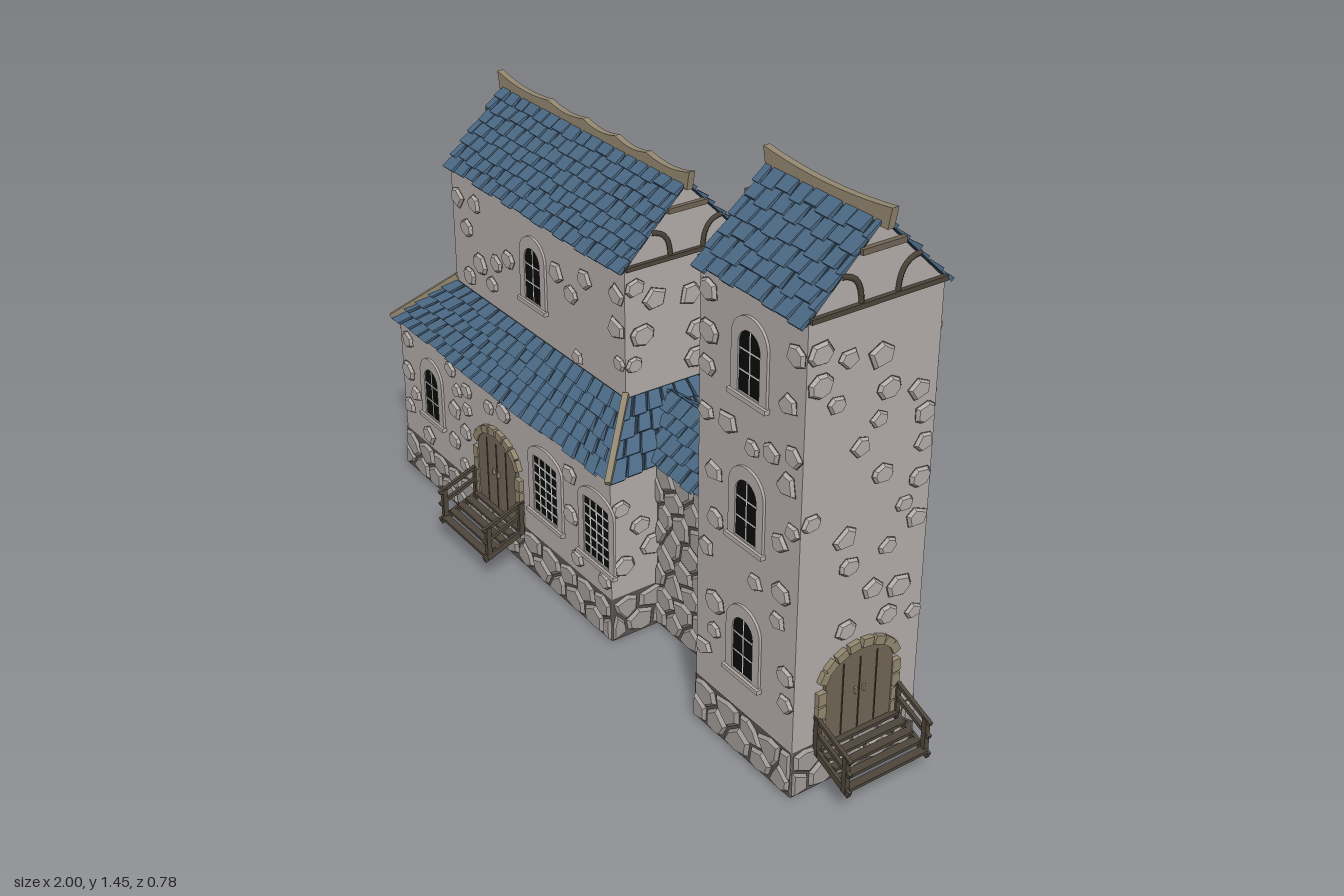
import * as THREE from 'three';
import { mergeGeometries } from 'three/addons/utils/BufferGeometryUtils.js';

const paint = (name, color, side = THREE.FrontSide) => {
  const m = new THREE.MeshStandardMaterial({ color, side });
  m.name = name;
  return m;
};
const M = {
  plaster: paint('plaster', 0xb0aaa7, THREE.DoubleSide),
  stone: paint('stone', 0x9f9a96),
  mortar: paint('mortar', 0x57524e, THREE.DoubleSide),
  slate: paint('slate', 0x4a6782),
  slateShadow: paint('slateShadow', 0x24323f, THREE.DoubleSide),
  ridgeWood: paint('ridgeWood', 0x91866e),
  darkWood: paint('darkWood', 0x4d443a),
  doorWood: paint('doorWood', 0x6f6454),
  glass: paint('glass', 0x0b0b0c),
  white: paint('white', 0xe8e8e6),
};
let seed = 11;
const rnd = () => (seed = (seed * 16807) % 2147483647) / 2147483647;
const V = (x, y, z) => new THREE.Vector3(x, y, z);

function add(parent, name, geo, mat) {
  const m = new THREE.Mesh(geo, mat);
  m.name = name;
  parent.add(m);
  return m;
}
function box(w, h, d, x, y, z, tilt = 0) {
  return new THREE.BoxGeometry(w, h, d).rotateX(tilt).translate(x, y, z);
}
// flat-shaded surface from a list of quads
function facets(quads) {
  const p = [];
  for (const [a, b, c, d] of quads) for (const v of [a, b, c, a, c, d]) p.push(v.x, v.y, v.z);
  const g = new THREE.BufferGeometry();
  g.setAttribute('position', new THREE.Float32BufferAttribute(p, 3));
  g.computeVertexNormals();
  return g;
}
// bevelled stones from outlines lying on a wall
function stones(polys, h, grow = 1, cap = 0.8) {
  const quads = [];
  for (const poly of polys) {
    const c = poly.reduce((s, p) => s.add(p), V(0, 0, 0)).divideScalar(poly.length);
    const ring = (k, z) => poly.map(p => V(c.x + (p.x - c.x) * k, c.y + (p.y - c.y) * k, z));
    const lo = ring(grow, 0.0005), hi = ring(grow * cap, h), mid = V(c.x, c.y, h);
    poly.forEach((_, i) => {
      const j = (i + 1) % poly.length;
      quads.push([lo[i], lo[j], hi[j], hi[i]], [hi[i], hi[j], mid, mid]);
    });
  }
  return facets(quads);
}
// interlocking cobbles over a band of wall
function cobbles(face, w, H, cw, rows) {
  const ch = H / rows, n = Math.ceil(w / cw) * 2 + 2, polys = [];
  const hash = (i, r) => { const s = Math.sin(i * 12.99 + r * 78.23 + w * 37) * 43758.5; return s - Math.floor(s) - 0.5; };
  const pt = (i, r) => V(
    THREE.MathUtils.clamp(-w / 2 + (i - 1) * cw / 2 + hash(i, r) * cw * 0.35, -w / 2, w / 2),
    THREE.MathUtils.clamp((r + ((i + r) % 2 ? -0.2 : 0.2) + hash(r, i) * 0.3) * ch, 0, H), 0);
  for (let r = 0; r < rows; r++) for (let i = r % 2; i < n; i += 2) {
    const poly = [pt(i, r), pt(i + 1, r), pt(i + 2, r), pt(i + 2, r + 1), pt(i + 1, r + 1), pt(i, r + 1)];
    if (poly[2].x - poly[0].x > cw * 0.2) polys.push(poly);
  }
  add(face, 'cobbleMortar', new THREE.PlaneGeometry(w, H).translate(0, H / 2, 0.002), M.mortar);
  add(face, 'cobbles', stones(polys, 0.009, 0.9).translate(0, 0, 0.002), M.stone);
}
// loose stones showing through the plaster, kept clear of openings
function scatter(face, w, y0, y1, n, avoid = []) {
  const polys = [], used = [];
  for (let t = 0; t < 600 && polys.length < n; t++) {
    const r = 0.024 + rnd() * 0.014, edge = rnd() < 0.25 ? Math.sign(rnd() - 0.5) : 0;
    const x = edge ? edge * (w / 2 - r) : (rnd() - 0.5) * (w - 2 * r), y = y0 + r + rnd() * (y1 - y0 - 2 * r);
    if (avoid.some(([ax, ay, aw, ah]) => Math.abs(x - ax) < aw / 2 + r && Math.abs(y - ay) < ah / 2 + r)) continue;
    if (used.some(u => Math.hypot(u[0] - x, u[1] - y) < u[2] + r + 0.004)) continue;
    used.push([x, y, r]);
    const k = 5 + Math.floor(rnd() * 3), a0 = rnd() * 6;
    polys.push(Array.from({ length: k }, (_, i) => {
      const a = a0 + (i + rnd() * 0.4) / k * Math.PI * 2;
      return V(x + Math.cos(a) * r, y + Math.sin(a) * r * 0.85, 0);
    }));
  }
  add(face, 'stoneRims', stones(polys, 0.001, 1.06, 0.98), M.mortar);
  add(face, 'wallStones', stones(polys, 0.009), M.plaster);
}
// four wall faces, each a group with x along the wall and z pointing out
function block(parent, name, x0, x1, z0, z1, yb, yt, ridge = yt, mat = M.plaster) {
  const g = new THREE.Group(), cx = (x0 + x1) / 2, cz = (z0 + z1) / 2, out = {};
  g.name = name;
  parent.add(g);
  [['front', cx, z1, x1 - x0], ['right', x1, cz, z1 - z0], ['back', cx, z0, x1 - x0], ['left', x0, cz, z1 - z0]].forEach(([n, x, z, w], i) => {
    const f = new THREE.Group(), top = i % 2 ? ridge : yt;
    f.name = n + 'Face';
    f.position.set(x, 0, z);
    f.rotation.y = i * Math.PI / 2;
    g.add(f);
    const pts = [[-w / 2, yb], [w / 2, yb], [w / 2, yt], [0, top], [-w / 2, yt]].map(p => new THREE.Vector2(...p));
    add(f, 'wall', new THREE.ShapeGeometry(new THREE.Shape(pts)), mat);
    f.userData.w = w;
    out[n] = f;
  });
  return out;
}
function arch(w, h, rise, Type = THREE.Shape) {
  const s = new Type();
  s.moveTo(-w / 2, 0).lineTo(w / 2, 0).lineTo(w / 2, h - rise);
  s.absellipse(0, h - rise, w / 2, rise, 0, Math.PI, false);
  s.closePath();
  return s;
}
const slab = (shape, depth) => new THREE.ExtrudeGeometry(shape, { depth, bevelEnabled: false, curveSegments: 10 });

function windowAt(face, x, y, wide = false) {
  const g = new THREE.Group(), w = wide ? 0.115 : 0.076, h = wide ? 0.175 : 0.155, rise = wide ? 0.006 : 0.038;
  g.name = 'window';
  g.position.set(x, y, 0);
  face.add(g);
  const frame = arch(w + 0.05, h + 0.038, wide ? 0.045 : 0.06);
  frame.holes.push(new THREE.Path(arch(w, h, rise).getPoints(10).map(p => p.setY(p.y + 0.004))));
  add(g, 'surround', slab(frame, 0.007), M.plaster);
  add(g, 'glass', slab(arch(w, h, rise), 0.006).translate(0, 0.004, -0.003), M.glass);
  const bars = [], nx = wide ? 4 : 2, ny = wide ? 6 : 3, t = wide ? 0.005 : 0.0035;
  for (let i = wide ? 0 : 1; i <= (wide ? nx : nx - 1); i++) bars.push(box(t, h - 0.004, 0.008, (i / nx - 0.5) * w, h / 2 + 0.003, 0));
  for (let j = wide ? 0 : 1; j < ny; j++) bars.push(box(w * 0.97, t, 0.008, 0, 0.004 + j * h / ny, 0));
  add(g, 'glazingBars', mergeGeometries(bars), M.white);
  add(g, 'sill', box(w + 0.06, 0.012, 0.016, 0, -0.006, 0.006), M.plaster);
}
function entrance(face, x) {
  const g = new THREE.Group();
  g.name = 'entrance';
  g.position.x = x;
  face.add(g);
  add(g, 'door', slab(arch(0.2, 0.235, 0.07), 0.014).translate(0, 0.12, -0.004), M.doorWood);
  const seams = [-0.05, 0, 0.05].map(s => box(0.003, 0.2, 0.004, s, 0.23, 0.01));
  add(g, 'doorSeams', mergeGeometries(seams), M.darkWood);
  add(g, 'doorHandles', mergeGeometries([-0.012, 0.012].map(s => box(0.006, 0.016, 0.01, s, 0.24, 0.013))), M.ridgeWood);
  // stone blocks round the opening
  const blocks = [];
  for (const s of [-1, 1]) for (let i = 0; i < 4; i++) blocks.push(box(0.024, 0.034, 0.016, s * 0.111, 0.14 + i * 0.039, 0.006));
  for (let i = 1; i < 9; i++) {
    const a = i / 9 * Math.PI;
    blocks.push(new THREE.BoxGeometry(0.022, 0.031, 0.016).rotateZ(Math.atan2(Math.sin(a) * 0.11, Math.cos(a) * 0.08)).translate(Math.cos(a) * 0.111, 0.285 + Math.sin(a) * 0.079, 0.006));
  }
  add(g, 'doorArch', mergeGeometries(blocks), M.ridgeWood);
  // wooden steps with sloping handrails
  const parts = [], tilt = 0.37;
  for (let i = 0; i < 5; i++) parts.push(box(0.235, 0.008, 0.022, 0, 0.122 - i * 0.0115, 0.014 + i * 0.026));
  for (const s of [-0.12, 0.12]) {
    parts.push(box(0.01, 0.018, 0.135, s, 0.09, 0.068, tilt));
    for (const [z, y] of [[0.012, 0.155], [0.115, 0.115]]) parts.push(box(0.014, 0.1, 0.014, s, y, z));
    for (const y of [0.182, 0.145]) parts.push(box(0.01, 0.01, 0.14, s, y, 0.066, tilt));
  }
  add(g, 'steps', mergeGeometries(parts), M.darkWood);
}
// beams in a gable end
function gableTimber(face, y, rise) {
  const w = face.userData.w, parts = [box(w, 0.012, 0.014, 0, y, 0.004)];
  for (const s of [-1, 1]) {
    const c = new THREE.QuadraticBezierCurve3(V(s * 0.05, y, 0.003), V(s * 0.05, y + 0.075, 0.003), V(s * 0.108, y + 0.078, 0.003));
    parts.push(new THREE.TubeGeometry(c, 8, 0.007, 5));
  }
  add(face, 'gableBeams', mergeGeometries(parts), M.darkWood);
  add(face, 'collarBeam', box(w * 0.32, 0.014, 0.016, 0, y + rise * 0.68, 0.004), M.doorWood);
}
// tiled slope; corners run eave left, eave right, top right, top left
function slope(parent, name, eL, eR, tR, tL) {
  const n = V(0, 0, 0).crossVectors(eR.clone().sub(eL), tL.clone().sub(eL)).normalize();
  const at = (u, v, lift) => eL.clone().lerp(eR, u).lerp(tL.clone().lerp(tR, u), v).addScaledVector(n, lift);
  const rows = Math.round(eL.clone().lerp(eR, 0.5).distanceTo(tL.clone().lerp(tR, 0.5)) / 0.042), quads = [];
  for (let r = 0; r < rows; r++) {
    const len = at(0, r / rows, 0).distanceTo(at(1, r / rows, 0)), k = Math.round(len / 0.05);
    for (let i = 0; i <= k; i++) {
      const u0 = Math.max(0, (i - (r % 2 ? 0.5 : 0) + rnd() * 0.2) / k) , u1 = Math.min(1, (i + 0.94 - (r % 2 ? 0.5 : 0)) / k);
      if (u1 - u0 < 0.15 / k) continue;
      const v0 = (r - rnd() * 0.25) / rows, v1 = (r + 0.97) / rows, h = 0.009 + rnd() * 0.006;
      const a = at(u0, v0, h), b = at(u1, v0, h), c = at(u1, v1, 0.004), d = at(u0, v1, 0.004);
      const a0 = at(u0, v0, 0), b0 = at(u1, v0, 0), c0 = at(u1, v1, 0), d0 = at(u0, v1, 0);
      quads.push([a, b, c, d], [a0, b0, b, a], [b0, c0, c, b], [d0, a0, a, d]);
    }
  }
  add(parent, name + 'Underlay', facets([[eL, eR, tR, tL]]), M.slateShadow);
  add(parent, name + 'Tiles', facets(quads), M.slate);
}
function gableRoof(parent, name, x0, x1, z0, z1, y, top) {
  const m = (z0 + z1) / 2;
  slope(parent, name + 'Front', V(x0, y, z1), V(x1, y, z1), V(x1, top, m), V(x0, top, m));
  slope(parent, name + 'Back', V(x1, y, z0), V(x0, y, z0), V(x0, top, m), V(x1, top, m));
}
// sagging ridge timber, each span lifted at its ends
function ridgeBeam(parent, xs, y, z) {
  const s = new THREE.Shape();
  s.moveTo(xs[0] + 0.01, y - 0.015).lineTo(xs[xs.length - 1] - 0.01, y - 0.015);
  s.lineTo(xs[xs.length - 1], y + 0.036);
  for (let i = xs.length - 2; i >= 0; i--) s.quadraticCurveTo((xs[i] + xs[i + 1]) / 2, y + 0.006, xs[i], y + (i ? 0.028 : 0.036));
  s.closePath();
  add(parent, 'ridgeBeam', slab(s, 0.018).translate(0, 0, z - 0.009), M.ridgeWood);
}

export function createModel() {
  const root = new THREE.Group();
  root.name = 'stoneHouse';

  // ground floor
  const low = block(root, 'groundFloor', -0.98, 0.12, -0.37, 0.25, 0, 0.5);
  const lowHoles = { front: [[-0.37, 0.32, 0.15, 0.24], [0, 0.25, 0.27, 0.27], [0.245, 0.32, 0.17, 0.24], [0.49, 0.32, 0.17, 0.24]], back: [[-0.37, 0.32, 0.15, 0.24], [0.37, 0.32, 0.15, 0.24]] };
  for (const [n, f] of Object.entries(low)) {
    cobbles(f, f.userData.w, 0.13, 0.085, 2);
    scatter(f, f.userData.w, 0.13, 0.49, Math.round(f.userData.w * 21), lowHoles[n]);
  }
  windowAt(low.front, -0.37, 0.237);
  windowAt(low.front, 0.245, 0.215, true);
  windowAt(low.front, 0.49, 0.215, true);
  entrance(low.front, 0);
  for (const x of [-0.37, 0.37]) windowAt(low.back, x, 0.237);

  // upper floor
  const up = block(root, 'upperFloor', -0.86, 0, -0.25, 0.12, 0.55, 0.98, 1.165);
  for (const [n, f] of Object.entries(up)) {
    const open = n === 'front' || n === 'back';
    scatter(f, f.userData.w, 0.62, 0.97, open ? 15 : 9, open ? [[0, 0.8, 0.15, 0.24]] : []);
    if (open) windowAt(f, 0, 0.722);
    else gableTimber(f, 0.985, 0.185);
  }

  // tower
  const tower = block(root, 'tower', 0.49, 0.86, -0.12, 0.25, 0, 1.23, 1.41);
  const levels = [0.237, 0.607, 0.977];
  for (const [n, f] of Object.entries(tower)) {
    const open = n === 'front' || n === 'back';
    cobbles(f, 0.37, 0.13, 0.085, 2);
    const holes = open ? levels.map(y => [0, y + 0.08, 0.15, 0.24]) : n === 'right' ? [[0, 0.24, 0.27, 0.27]] : [];
    scatter(f, 0.37, 0.13, 1.21, 24, holes);
    if (open) levels.forEach(y => windowAt(f, 0, y));
    else gableTimber(f, 1.235, 0.18);
  }
  entrance(tower.right, 0);

  // cobbled link between house and tower
  const link = block(root, 'link', 0.12, 0.49, -0.115, 0.105, 0, 0.5, 0.62, M.mortar);
  for (const f of [link.front, link.back]) cobbles(f, 0.37, 0.5, 0.075, 8);

  // roofs
  gableRoof(root, 'upperRoof', -0.865, 0.005, -0.26, 0.13, 0.975, 1.17);
  gableRoof(root, 'towerRoof', 0.485, 0.865, -0.13, 0.26, 1.225, 1.415);
  gableRoof(root, 'linkRoof', 0, 0.49, -0.13, 0.12, 0.495, 0.62);
  ridgeBeam(root, [-0.885, -0.62, -0.45, -0.3, -0.16, 0.025], 1.172, -0.065);
  ridgeBeam(root, [0.475, 0.895], 1.415, 0.065);

  // skirt roof round the upper floor, with hip beams
  const outer = [[-0.99, 0.26], [0.13, 0.26], [0.13, -0.38], [-0.99, -0.38]].map(([x, z]) => V(x, 0.49, z));
  const inner = [[-0.86, 0.12], [0, 0.12], [0, -0.25], [-0.86, -0.25]].map(([x, z]) => V(x, 0.625, z));
  outer.forEach((o, i) => {
    const j = (i + 1) % 4;
    slope(root, 'skirtRoof' + i, o, outer[j], inner[j], inner[i]);
    const hip = add(root, 'hipBeam', new THREE.BoxGeometry(0.016, 0.018, o.distanceTo(inner[i]) + 0.015), M.ridgeWood);
    hip.position.lerpVectors(o, inner[i], 0.48).y += 0.01;
    hip.lookAt(inner[i].clone().setY(inner[i].y + 0.01));
  });
  return root;
}
